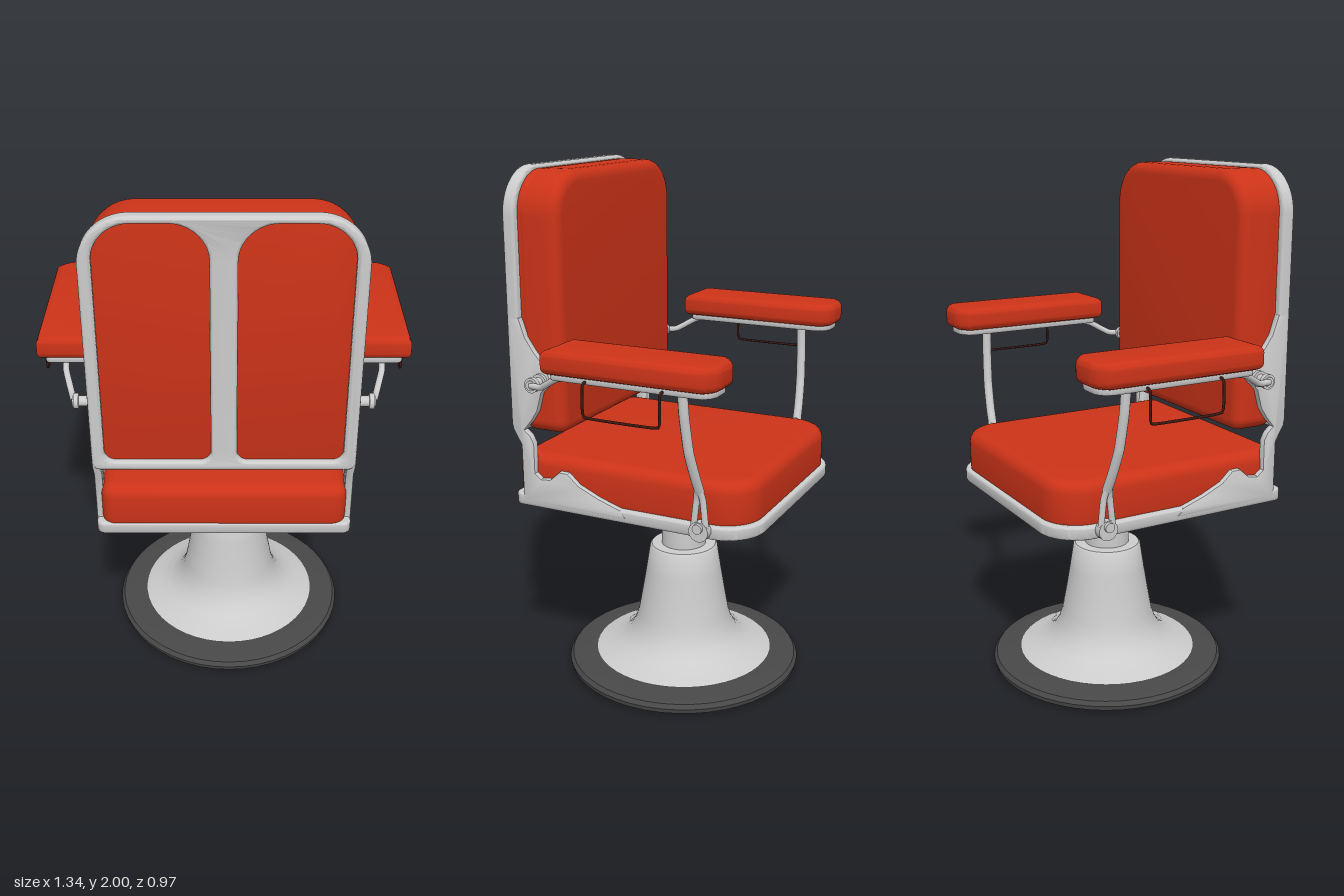
import * as THREE from 'three';
import { toCreasedNormals } from 'three/addons/utils/BufferGeometryUtils.js';

const metal = new THREE.MeshStandardMaterial({ color: 0xcccccc });
const leather = new THREE.MeshStandardMaterial({ color: 0xcc3318 });
const rubber = new THREE.MeshStandardMaterial({ color: 0x484848, side: THREE.DoubleSide });
const wire = new THREE.MeshStandardMaterial({ color: 0x3a1812 });

function add(group, name, geometry, material = metal) {
  const mesh = new THREE.Mesh(geometry, material);
  mesh.name = name;
  group.add(mesh);
  return mesh;
}

// Rectangle with its own radius for the lower and the upper corners
function roundRect(x0, y0, x1, y1, rLow, rHigh, Type = THREE.Shape) {
  const s = new Type();
  s.moveTo(x0 + rLow, y0);
  s.lineTo(x1 - rLow, y0);
  s.absarc(x1 - rLow, y0 + rLow, rLow, -Math.PI / 2, 0);
  s.lineTo(x1, y1 - rHigh);
  s.absarc(x1 - rHigh, y1 - rHigh, rHigh, 0, Math.PI / 2);
  s.lineTo(x0 + rHigh, y1);
  s.absarc(x0 + rHigh, y1 - rHigh, rHigh, Math.PI / 2, Math.PI);
  s.lineTo(x0, y0 + rLow);
  s.absarc(x0 + rLow, y0 + rLow, rLow, Math.PI, Math.PI * 1.5);
  return s;
}

// Extrusion that fills z = 0..height, with edges rounded inside the outline
function slab(shape, height, bevel, segments = 5) {
  const g = new THREE.ExtrudeGeometry(shape, {
    depth: height - 2 * bevel, bevelSize: bevel, bevelThickness: bevel,
    bevelOffset: -bevel, bevelSegments: segments, curveSegments: 10,
  });
  return toCreasedNormals(g.translate(0, 0, bevel), 0.7);
}

// Lays a slab down: shape y becomes -z, thickness becomes y
const flat = (shape, height, bevel, y) =>
  slab(shape, height, bevel).rotateX(-Math.PI / 2).translate(0, y, 0);

// Ring frame with a bar down the middle
function barredFrame(outer, x, y0, y1, rLow, rHigh, bar) {
  outer.holes.push(
    roundRect(bar, y0, x, y1, rLow, rHigh, THREE.Path),
    roundRect(-x, y0, -bar, y1, rLow, rHigh, THREE.Path));
  return outer;
}

function rod(points, radius, tension = 0.3) {
  const curve = new THREE.CatmullRomCurve3(
    points.map((p) => new THREE.Vector3(...p)), false, 'catmullrom', tension);
  return new THREE.TubeGeometry(curve, 40, radius, 10);
}

// Cylinder along x
const pin = (x, y, z, radius, length) =>
  new THREE.CylinderGeometry(radius, radius, length, 20).rotateZ(Math.PI / 2).translate(x, y, z);

function createSide(s, name) {
  const g = new THREE.Group();
  g.name = name;

  // Bracket joining the seat frame to the back, as (z, y) points
  const outline = [
    [0.47, 1.47], [0.475, 1.05], [0.44, 0.99], [0.44, 0.77], [0.0, 0.77], [0.03, 0.8], [0.12, 0.83],
    [0.2, 0.865], [0.245, 0.905], [0.28, 0.905], [0.32, 0.87], [0.36, 0.865], [0.385, 0.885],
    [0.385, 1.0], [0.4, 1.03], [0.425, 1.05], [0.39, 1.09], [0.365, 1.13], [0.345, 1.2],
    [0.3, 1.245], [0.325, 1.3], [0.37, 1.35], [0.405, 1.4], [0.43, 1.47],
  ];
  const bracket = new THREE.Shape(outline.map(([z, y]) => new THREE.Vector2(-z, y)));
  add(g, 'sideBracket', slab(bracket, 0.03, 0.006, 2).rotateY(Math.PI / 2)
    .translate(s * 0.451 - 0.015, 0, 0));

  // Armrest, with a blunted front end
  const c = s * 0.565;
  const pad = new THREE.Shape();
  pad.moveTo(c - 0.105, -0.21);
  pad.lineTo(c + 0.105, -0.21);
  pad.lineTo(c + 0.105, 0.39);
  pad.quadraticCurveTo(c + 0.07, 0.435, c + 0.03, 0.435);
  pad.lineTo(c - 0.03, 0.435);
  pad.quadraticCurveTo(c - 0.07, 0.435, c - 0.105, 0.39);
  add(g, 'armPad', flat(pad, 0.088, 0.025, 1.332), leather);
  add(g, 'armPlate', flat(roundRect(c - 0.08, -0.195, c + 0.08, 0.415, 0.02, 0.06), 0.03, 0.006, 1.31));

  // Front strut, forking at the seat
  add(g, 'armStrut', rod([[s * 0.57, 1.32, -0.275], [s * 0.565, 1.22, -0.28], [s * 0.545, 1.09, -0.288],
    [s * 0.51, 0.99, -0.296], [s * 0.483, 0.93, -0.3]], 0.018));
  for (const d of [-1, 1]) {
    add(g, 'strutFork', rod([[s * 0.495, 0.96, -0.298], [s * 0.482, 0.9, -0.3 + d * 0.012],
      [s * 0.482, 0.79, -0.3 + d * 0.024]], 0.012));
  }
  add(g, 'strutHub', pin(s * 0.48, 0.785, -0.3, 0.037, 0.03));
  add(g, 'strutBolt', pin(s * 0.483, 0.8, -0.3, 0.018, 0.05));

  // Rear pivot and the rod under the armrest
  add(g, 'rearPivot', pin(s * 0.495, 1.245, 0.345, 0.019, 0.08));
  add(g, 'pivotWasher', pin(s * 0.472, 1.245, 0.345, 0.03, 0.014));
  add(g, 'pivotCap', pin(s * 0.521, 1.245, 0.345, 0.028, 0.018));
  add(g, 'armRod', rod([[s * 0.53, 1.245, 0.345], [s * 0.545, 1.25, 0.29], [s * 0.57, 1.295, 0.21],
    [s * 0.572, 1.305, 0.14], [s * 0.572, 1.305, -0.04]], 0.012));

  // Thin wire loop hanging outside the armrest
  add(g, 'wireLoop', rod([[s * 0.635, 1.32, 0.05], [s * 0.655, 1.32, 0.05], [s * 0.665, 1.305, 0.05],
    [s * 0.665, 1.22, 0.05], [s * 0.665, 1.202, 0.03], [s * 0.665, 1.202, -0.22], [s * 0.665, 1.22, -0.24],
    [s * 0.665, 1.305, -0.24], [s * 0.655, 1.32, -0.24], [s * 0.635, 1.32, -0.24]], 0.005), wire);
  return g;
}

export function createModel() {
  const model = new THREE.Group();
  model.name = 'barberChair';

  // Pedestal, a little off centre
  const base = new THREE.Group();
  base.name = 'pedestal';
  base.position.set(0.02, 0, -0.016);
  model.add(base);
  const lathe = (pts) => toCreasedNormals(
    new THREE.LatheGeometry(pts.map((p) => new THREE.Vector2(...p)), 48), 0.6);
  add(base, 'floorRim', lathe([[0, 0.004], [0.44, 0], [0.463, 0.012], [0.467, 0.03],
    [0.455, 0.046], [0.36, 0.062], [0.33, 0.06]]), rubber);
  add(base, 'flaredFoot', lathe([[0.37, 0.056], [0.34, 0.068], [0.3, 0.082], [0.255, 0.104],
    [0.22, 0.135], [0.197, 0.175], [0.183, 0.22], [0.165, 0.32], [0.15, 0.41], [0.135, 0.505],
    [0.128, 0.513], [0.08, 0.515]]));
  add(base, 'column', lathe([[0.088, 0.5], [0.088, 0.65], [0.08, 0.73], [0.078, 0.78]]));

  // Seat, rounded more at the front (-z)
  const seatOuter = roundRect(-0.465, -0.48, 0.465, 0.482, 0.03, 0.15);
  add(model, 'seatFrame', flat(barredFrame(seatOuter, 0.42, -0.43, 0.43, 0.03, 0.1, 0.04), 0.05, 0.01, 0.75));
  add(model, 'seatCushion', flat(roundRect(-0.445, -0.478, 0.445, 0.465, 0.05, 0.14), 0.19, 0.045, 0.765), leather);

  // Backrest
  const backOuter = roundRect(-0.465, 1.04, 0.465, 2, 0.03, 0.17);
  add(model, 'backFrame', slab(barredFrame(backOuter, 0.42, 1.075, 1.975, 0.04, 0.13, 0.045), 0.05, 0.012)
    .translate(0, 0, 0.432));
  add(model, 'backCushion', slab(roundRect(-0.443, 1.04, 0.443, 1.987, 0.05, 0.16), 0.175, 0.04)
    .translate(0, 0, 0.27), leather);
  const panel = roundRect(-0.44, 1.055, 0.44, 1.985, 0.03, 0.15);
  add(model, 'backPanel', slab(panel, 0.06, 0.005, 2).translate(0, 0, 0.4), leather);

  model.add(createSide(1, 'leftSide'), createSide(-1, 'rightSide'));
  return model;
}
